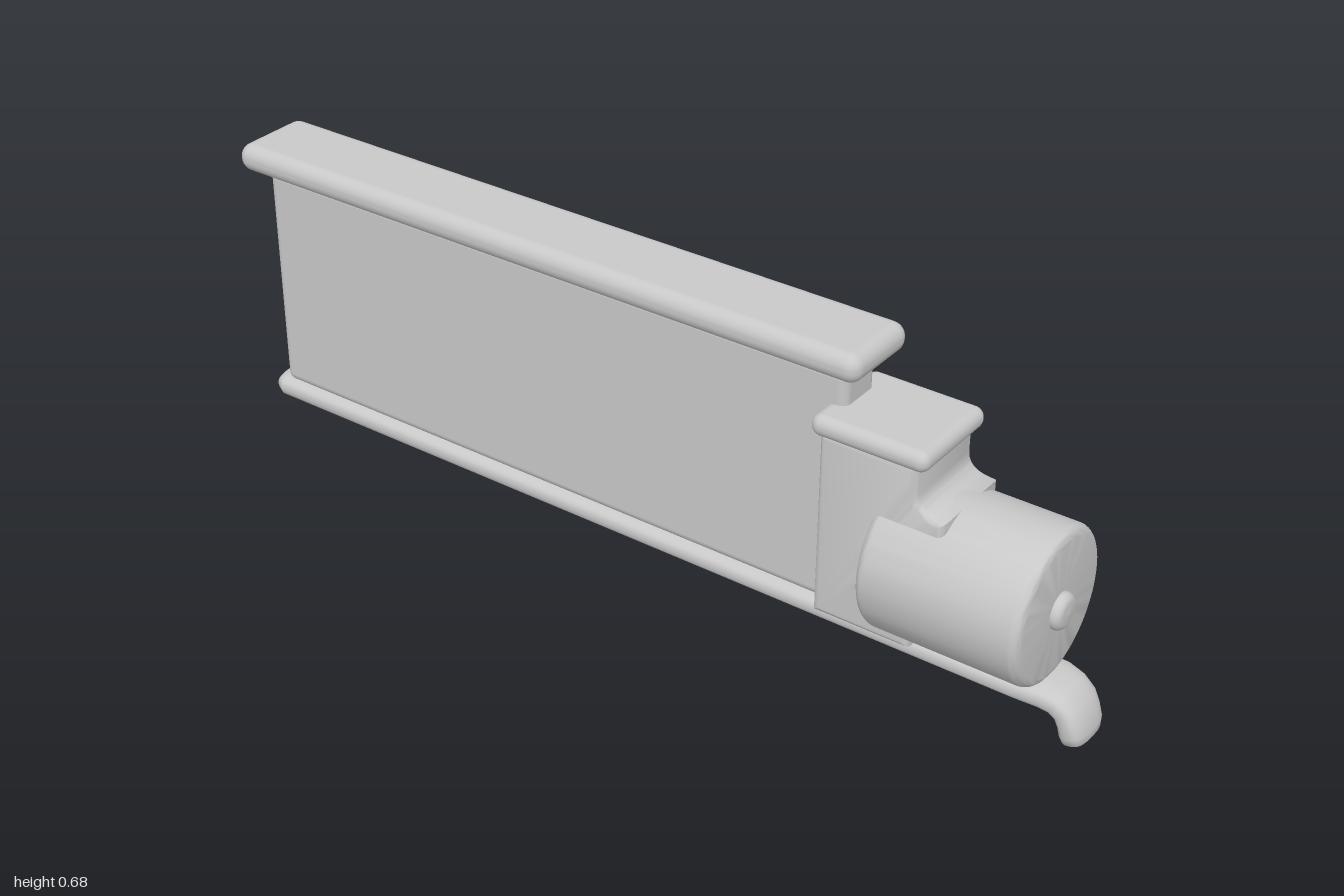
import * as THREE from 'three';
import { RoundedBoxGeometry } from 'three/addons/geometries/RoundedBoxGeometry.js';
import { toCreasedNormals } from 'three/addons/utils/BufferGeometryUtils.js';

const grey = new THREE.MeshStandardMaterial({ color: 0xc8c8c8 });
grey.name = 'grey';

function part(group, name, geometry) {
  const mesh = new THREE.Mesh(geometry, grey);
  mesh.name = name;
  group.add(mesh);
  return mesh;
}

// Rounded box given by its limits in x and y and its half depth in z
function box(group, name, x0, x1, y0, y1, halfZ, radius) {
  const mesh = part(group, name, new RoundedBoxGeometry(x1 - x0, y1 - y0, halfZ * 2, 5, radius));
  mesh.position.set((x0 + x1) / 2, (y0 + y1) / 2, 0);
  return mesh;
}

// Rounded sections swept through stations [x, y, half thickness, half width]
function loft(stations, sides = 32) {
  const positions = [], index = [];
  const power = (v) => Math.sign(v) * Math.abs(v) ** 0.75;
  stations.forEach(([x, y, t, w], i) => {
    const a = stations[Math.max(i - 1, 0)];
    const b = stations[Math.min(i + 1, stations.length - 1)];
    const dir = new THREE.Vector2(b[0] - a[0], b[1] - a[1]).normalize();
    for (let j = 0; j < sides; j++) {
      const angle = (j / sides) * Math.PI * 2;
      const n = power(Math.sin(angle)) * t;
      positions.push(x - dir.y * n, y + dir.x * n, power(Math.cos(angle)) * w);
      if (i === stations.length - 1) continue;
      const p = i * sides + j, q = i * sides + (j + 1) % sides;
      index.push(p, p + sides, q, q, p + sides, q + sides);
    }
  });
  const geometry = new THREE.BufferGeometry();
  geometry.setAttribute('position', new THREE.Float32BufferAttribute(positions, 3));
  geometry.setIndex(index);
  geometry.computeVertexNormals();
  return geometry;
}

// Solid of revolution about the x axis from [x, radius] points
function turned(points) {
  const profile = points.map(([x, r]) => new THREE.Vector2(r, x));
  const geometry = new THREE.LatheGeometry(profile, 64);
  geometry.rotateZ(-Math.PI / 2);
  return geometry;
}

// Quarter-round corner points about a centre, from angle a to angle b
function arc(x, r, radius, a, b, steps = 6) {
  return Array.from({ length: steps + 1 }, (_, i) => {
    const t = a + ((b - a) * i) / steps;
    return [x + Math.cos(t) * radius, r + Math.sin(t) * radius];
  });
}

export function createModel() {
  const model = new THREE.Group();
  model.name = 'panelWithMotor';

  // Flat panel and the rail along its top
  box(model, 'panel', -0.953, 0.472, 0.115, 0.622, 0.052, 0.02);
  box(model, 'topRail', -1, 0.515, 0.621, 0.681, 0.093, 0.028);

  // Bottom rail that bends down into a hook
  part(model, 'bottomRailWithHook', loft([
    [-0.985, 0.097, 0, 0], [-0.984, 0.097, 0.012, 0.04], [-0.977, 0.097, 0.021, 0.056],
    [-0.955, 0.097, 0.027, 0.068], [0, 0.097, 0.027, 0.068], [0.86, 0.097, 0.027, 0.068],
    [0.91, 0.096, 0.027, 0.064], [0.937, 0.089, 0.027, 0.06], [0.955, 0.074, 0.027, 0.058],
    [0.965, 0.053, 0.027, 0.057], [0.971, 0.032, 0.028, 0.056], [0.974, 0.016, 0.025, 0.05],
    [0.976, 0.006, 0.016, 0.034], [0.977, 0.002, 0, 0],
  ]));

  // Gearbox with a fillet flowing onto the motor
  const bevel = 0.014;
  const side = new THREE.Shape();
  side.moveTo(0.447 + bevel, 0.12 + bevel);
  side.lineTo(0.655 - bevel, 0.12 + bevel);
  side.lineTo(0.655 - bevel, 0.33);
  side.lineTo(0.7, 0.33);
  side.lineTo(0.7, 0.405);
  side.quadraticCurveTo(0.655 - bevel, 0.408, 0.655 - bevel, 0.46);
  side.lineTo(0.655 - bevel, 0.515 - bevel);
  side.lineTo(0.447 + bevel, 0.515 - bevel);
  const depth = 0.196 - 2 * bevel;
  const gearbox = new THREE.ExtrudeGeometry(side, {
    depth, bevelSize: bevel, bevelThickness: bevel, bevelSegments: 4, curveSegments: 10,
  });
  gearbox.translate(0, 0, -depth / 2);
  part(model, 'gearbox', toCreasedNormals(gearbox, 0.6));
  box(model, 'gearboxCap', 0.43, 0.675, 0.507, 0.551, 0.11, 0.021);

  // Motor drum and its end button
  const drum = turned([
    [0.566, 0], ...arc(0.588, 0.135, 0.022, Math.PI, Math.PI / 2),
    ...arc(0.885, 0.137, 0.02, Math.PI / 2, 0), [0.905, 0],
  ]);
  part(model, 'motor', toCreasedNormals(drum, 0.6)).position.y = 0.265;
  const button = turned([[0.89, 0.037], ...arc(0.908, 0.021, 0.016, Math.PI / 2, 0), [0.926, 0]]);
  part(model, 'shaftButton', button).position.y = 0.261;

  // Lathe profiles run along +x, so their faces point outwards
  return model;
}
